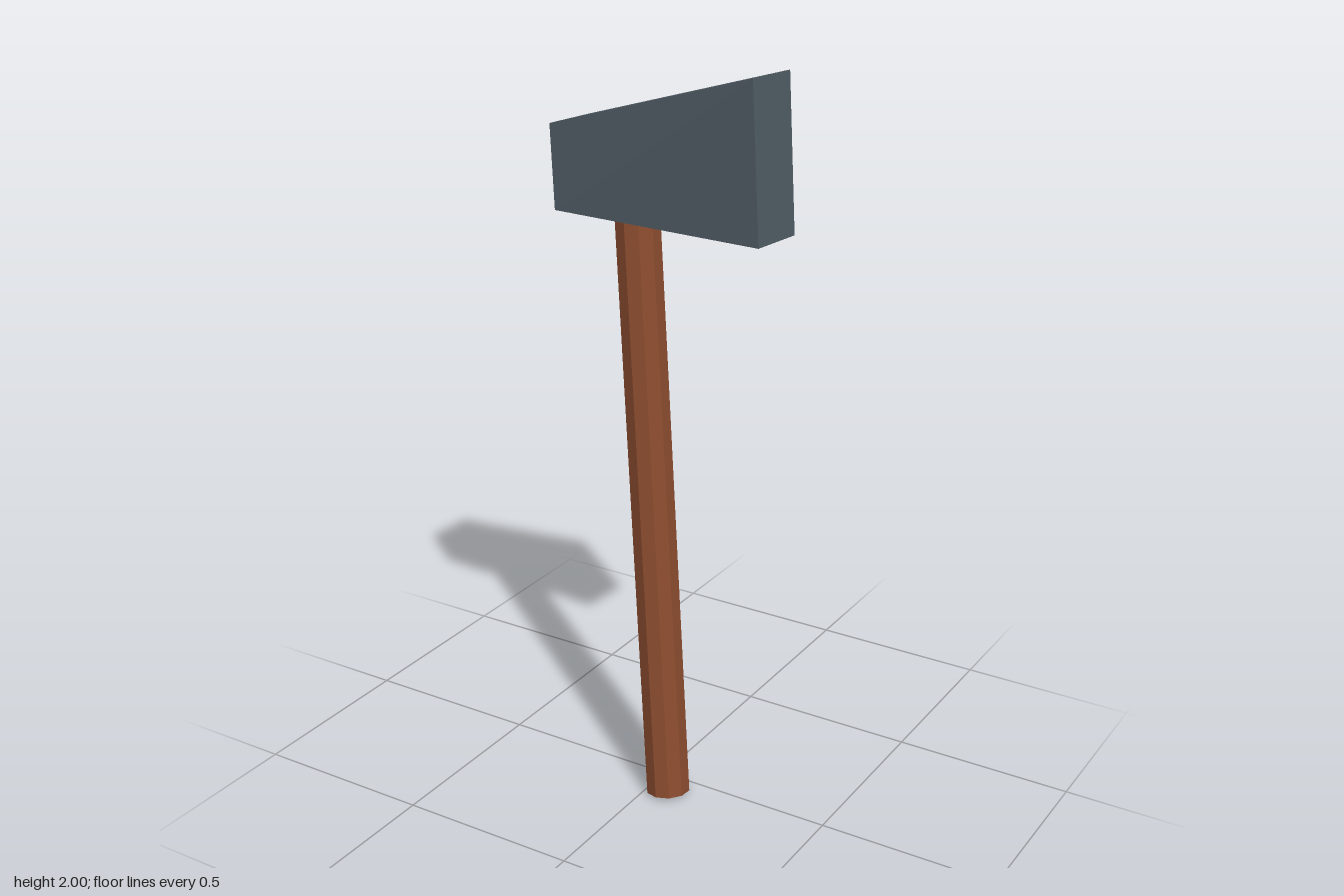
import * as THREE from 'three';

const material = (color) => new THREE.MeshStandardMaterial({ color, flatShading: true });

// Tilted ten-sided shaft running up into the head
function makeHandle() {
  const bottom = new THREE.Vector3(0.057, 0.007, 0.072);
  const top = new THREE.Vector3(-0.11, 1.75, -0.035);
  const axis = top.clone().sub(bottom);
  const handle = new THREE.Mesh(
    new THREE.CylinderGeometry(0.061, 0.061, axis.length(), 10),
    material(0x8b4c2f)
  );
  handle.name = 'handle';
  handle.position.copy(bottom).add(top).multiplyScalar(0.5);
  handle.quaternion.setFromUnitVectors(new THREE.Vector3(0, 1, 0), axis.normalize());
  handle.rotateY(-0.04);
  return handle;
}

// Wedge-shaped block: a box whose corners move to a leaning, slope-topped outline
function makeHead() {
  const front = {
    bottomLow: new THREE.Vector3(-0.3, 1.6, 0.045),
    bottomTall: new THREE.Vector3(0.311, 1.6, 0.076),
    topLow: new THREE.Vector3(-0.32, 1.82, 0.032),
    topTall: new THREE.Vector3(0.275, 2.0, 0.053),
  };
  const depth = new THREE.Vector3(0.008, -0.007, -0.169);
  const geometry = new THREE.BoxGeometry(1, 1, 1);
  const p = geometry.attributes.position;
  for (let i = 0; i < p.count; i++) {
    const key = (p.getY(i) > 0 ? 'top' : 'bottom') + (p.getX(i) > 0 ? 'Tall' : 'Low');
    const corner = front[key].clone();
    if (p.getZ(i) < 0) corner.add(depth);
    p.setXYZ(i, corner.x, corner.y, corner.z);
  }
  geometry.computeVertexNormals();
  const head = new THREE.Mesh(geometry, material(0x4f5b63));
  head.name = 'head';
  return head;
}

export function createModel() {
  const hammer = new THREE.Group();
  hammer.name = 'hammer';
  hammer.add(makeHandle(), makeHead());
  return hammer;
}
